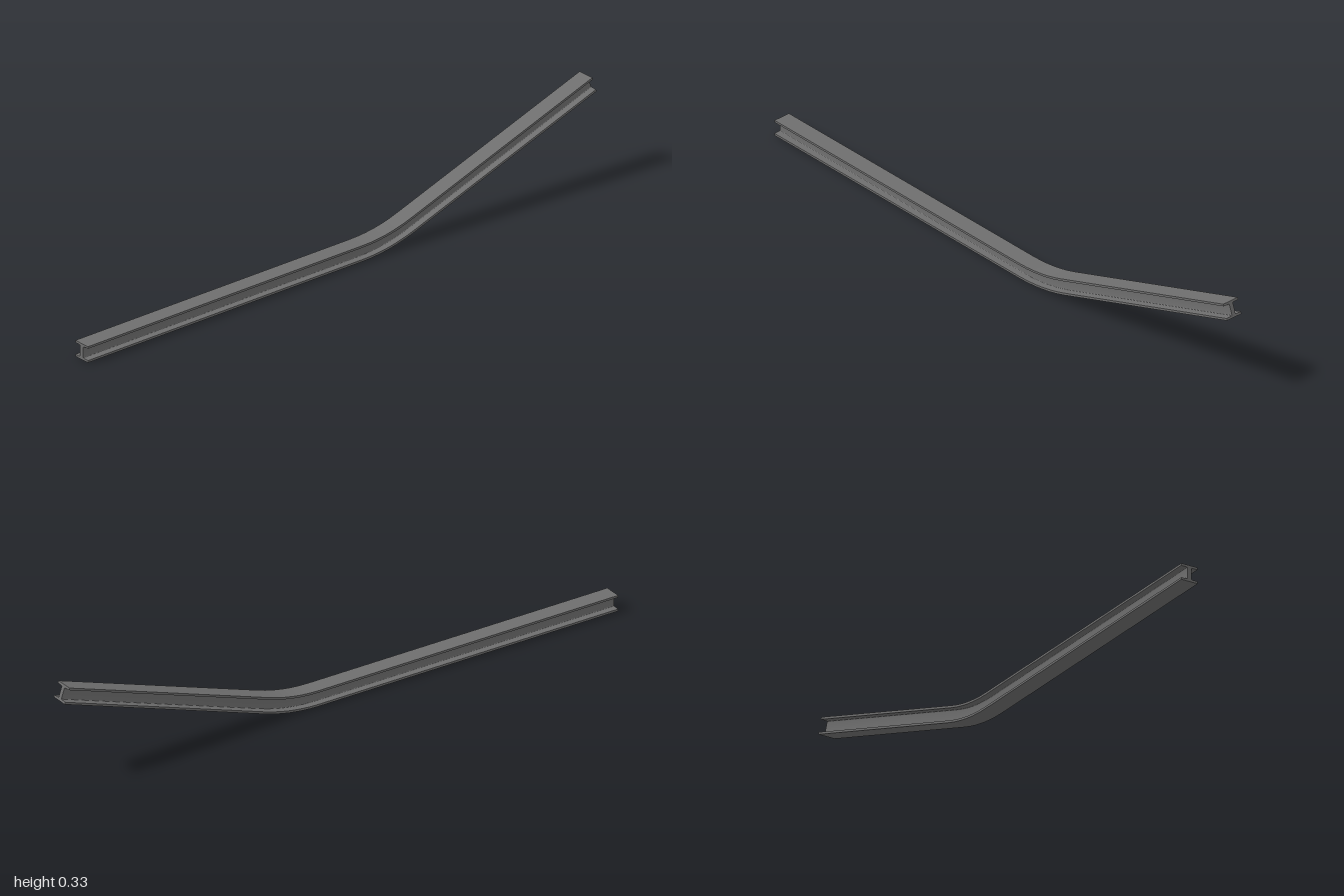
import * as THREE from 'three';
import { toCreasedNormals } from 'three/addons/utils/BufferGeometryUtils.js';

const HALF_W = 0.029, HALF_H = 0.0265, FLANGE = 0.019, WEB = 0.007, FILLET = 0.003;

// I-section: two flanges joined by a web with small inner fillets
function beamSection() {
  const s = new THREE.Shape();
  s.moveTo(-HALF_W, -HALF_H);
  s.lineTo(HALF_W, -HALF_H);
  s.lineTo(HALF_W, -FLANGE - 0.0005);
  s.lineTo(WEB + FILLET, -FLANGE);
  s.quadraticCurveTo(WEB, -FLANGE, WEB, -FLANGE + FILLET);
  s.lineTo(WEB, FLANGE - FILLET);
  s.quadraticCurveTo(WEB, FLANGE, WEB + FILLET, FLANGE);
  s.lineTo(HALF_W, FLANGE + 0.0005);
  s.lineTo(HALF_W, HALF_H);
  s.lineTo(-HALF_W, HALF_H);
  s.lineTo(-HALF_W, FLANGE + 0.0005);
  s.lineTo(-WEB - FILLET, FLANGE);
  s.quadraticCurveTo(-WEB, FLANGE, -WEB, FLANGE - FILLET);
  s.lineTo(-WEB, -FLANGE + FILLET);
  s.quadraticCurveTo(-WEB, -FLANGE, -WEB - FILLET, -FLANGE);
  s.lineTo(-HALF_W, -FLANGE - 0.0005);
  s.closePath();
  return s;
}

// Stations along the beam, back to front: raised straight, arc, level straight
function beamStations() {
  const angle = THREE.MathUtils.degToRad(18.7), arcSteps = 6;
  const bendZ = -0.08, bendY = HALF_H, radius = 0.607;
  const endZ = -1 + HALF_H * Math.sin(angle);
  const stations = [];
  for (let i = arcSteps; i >= 0; i--) {
    const a = angle * i / arcSteps;
    stations.push({ z: bendZ - radius * Math.sin(a), y: bendY + radius * (1 - Math.cos(a)), a });
  }
  const top = stations[0];
  stations.unshift({ z: endZ, y: top.y + (top.z - endZ) * Math.tan(angle), a: angle });
  stations.push({ z: 1, y: 0.0293, a: 0 });
  return stations;
}

export function createModel() {
  const group = new THREE.Group();
  group.name = 'bentBeam';

  const stations = beamStations();
  const n = stations.length - 1;
  const geo = new THREE.ExtrudeGeometry(beamSection(), {
    depth: n, steps: n, bevelEnabled: false, curveSegments: 4,
  });

  // Move each section of the straight extrusion to its station, square to the path
  const p = geo.attributes.position;
  for (let i = 0; i < p.count; i++) {
    const s = stations[Math.round(p.getZ(i))];
    const h = p.getY(i);
    p.setXYZ(i, p.getX(i), s.y + h * Math.cos(s.a), s.z + h * Math.sin(s.a));
  }

  // Dark steel beam
  const beam = new THREE.Mesh(
    toCreasedNormals(geo, 0.5),
    new THREE.MeshStandardMaterial({ color: 0x6e6e6e }),
  );
  beam.name = 'beam';
  group.add(beam);
  return group;
}
